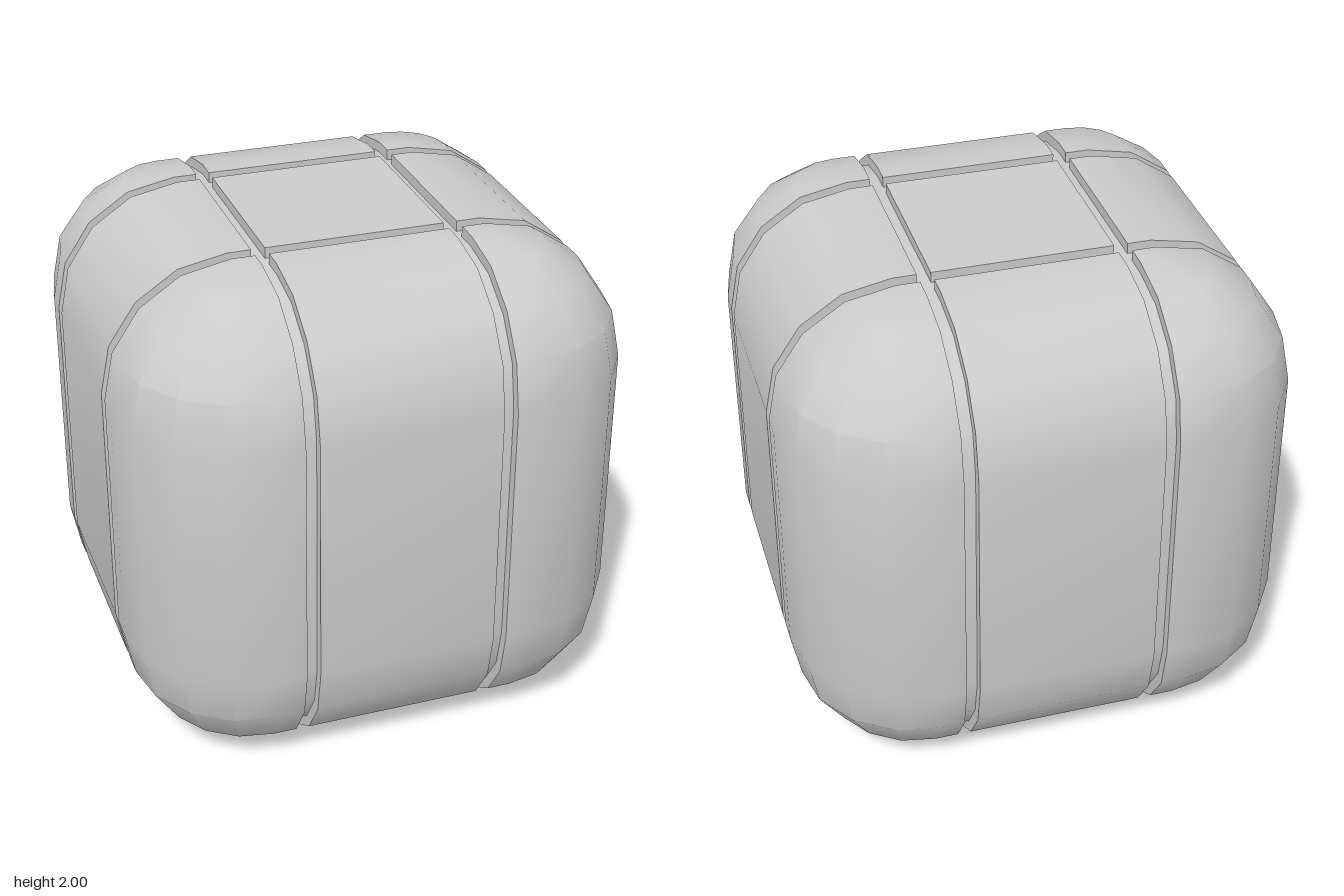
import * as THREE from 'three';
import { toCreasedNormals } from 'three/addons/utils/BufferGeometryUtils.js';

const FLAT = 0.5;      // half size of the flat faces, where the rounding starts
const R = 0.5;         // rounding radius of the outer panels
const DEPTH = 0.043;   // groove depth
const G0 = 0.355;      // groove inner edge
const G1 = 0.408;      // groove outer edge
const SEG = 4;         // facets per quarter round
const CREASE = Math.PI / 6;

const material = new THREE.MeshStandardMaterial({ color: 0xcccccc });

// Quarter-round angles from a to b
const angles = (a, b) => Array.from({ length: SEG + 1 }, (_, i) => a + ((b - a) * i) / SEG);

// Skin of quads over rows (top to bottom) of points (left to right)
function skin(rows) {
  const pos = [];
  const tri = (a, b, c) => {
    const area = b.clone().sub(a).cross(c.clone().sub(a)).length();
    if (area > 1e-7) for (const p of [a, b, c]) pos.push(p.x, p.y, p.z);
  };
  for (let i = 0; i + 1 < rows.length; i++) {
    for (let j = 0; j + 1 < rows[i].length; j++) {
      const a = rows[i][j], b = rows[i][j + 1], c = rows[i + 1][j], d = rows[i + 1][j + 1];
      tri(a, c, b);
      tri(b, c, d);
    }
  }
  const geo = new THREE.BufferGeometry();
  geo.setAttribute('position', new THREE.Float32BufferAttribute(pos, 3));
  return toCreasedNormals(geo, CREASE);
}

// Latitudes of the rounding, as [cosine, sine, side], top to bottom
const Q = Math.PI / 2;
const latitudes = [
  ...angles(Q, 0).map((t) => [Math.cos(t), Math.sin(t), 1]),
  ...angles(0, -Q).map((t) => [Math.cos(t), Math.sin(t), -1]),
];

// Inner rounded cube that forms the groove floors
function coreGeometry() {
  const r = R - DEPTH;
  const rows = latitudes.map(([c, s, side]) => {
    const row = [];
    [[1, 1], [1, -1], [-1, -1], [-1, 1]].forEach(([sx, sz], k) => {
      for (const t of angles(k * Q, (k + 1) * Q)) {
        row.push(new THREE.Vector3(
          sx * FLAT + r * c * Math.sin(t), side * FLAT + r * s, sz * FLAT + r * c * Math.cos(t)));
      }
    });
    row.push(row[0].clone());
    return row;
  });
  const cap = (y) => rows[0].map(() => new THREE.Vector3(0, y, 0));
  return skin([cap(FLAT + r), ...rows, cap(-FLAT - r)]);
}

// Corner column: outer skin plus the groove walls along both borders
function cornerGeometry() {
  const r = R - DEPTH;
  const rows = latitudes.map(([c, s, side]) => {
    const y = side * FLAT + R * s, yIn = side * FLAT + r * s;
    return [
      new THREE.Vector3(G1, yIn, FLAT + r * c),
      new THREE.Vector3(G1, y, FLAT + R * c),
      ...angles(0, Q).map((t) => new THREE.Vector3(
        FLAT + R * c * Math.sin(t), y, FLAT + R * c * Math.cos(t))),
      new THREE.Vector3(FLAT + R * c, y, G1),
      new THREE.Vector3(FLAT + r * c, yIn, G1),
    ];
  });
  const last = rows[0].length - 1;
  const cap = (side) => rows[0].map((_, j) => new THREE.Vector3(
    G1, side * (FLAT + (j === 0 || j === last ? r : R)), G1));
  return skin([cap(1), ...rows, cap(-1)]);
}

// Side panel: C-shaped profile extruded between two grooves
function sideGeometry() {
  const profile = (r) => [
    new THREE.Vector2(G1, FLAT + r),
    ...latitudes.map(([c, s, side]) => new THREE.Vector2(FLAT + r * c, side * FLAT + r * s)),
    new THREE.Vector2(G1, -FLAT - r),
  ];
  const shape = new THREE.Shape([...profile(R), ...profile(R - DEPTH).reverse()]);
  const geo = new THREE.ExtrudeGeometry(shape, { depth: 2 * G0, bevelEnabled: false });
  geo.translate(0, 0, -G0);
  geo.rotateY(-Q);
  return toCreasedNormals(geo, CREASE);
}

export function createModel() {
  const model = new THREE.Group();
  model.name = 'groovedRoundedCube';
  const add = (name, geo, y = 1, turn = 0) => {
    const mesh = new THREE.Mesh(geo, material);
    mesh.name = name;
    mesh.position.y = y;
    mesh.rotation.y = turn;
    model.add(mesh);
  };

  add('core', coreGeometry());

  // Four sides and four corners, turned around the vertical axis
  const side = sideGeometry();
  const corner = cornerGeometry();
  const sides = ['front', 'left', 'back', 'right'];
  const corners = ['frontLeft', 'backLeft', 'backRight', 'frontRight'];
  for (let k = 0; k < 4; k++) {
    add(`${sides[k]}Panel`, side, 1, k * Q);
    add(`${corners[k]}Corner`, corner, 1, k * Q);
  }

  // Square panels in the middle of the top and bottom
  const square = new THREE.BoxGeometry(2 * G0, DEPTH, 2 * G0);
  add('topPanel', square, 2 - DEPTH / 2);
  add('bottomPanel', square, DEPTH / 2);
  return model;
}
